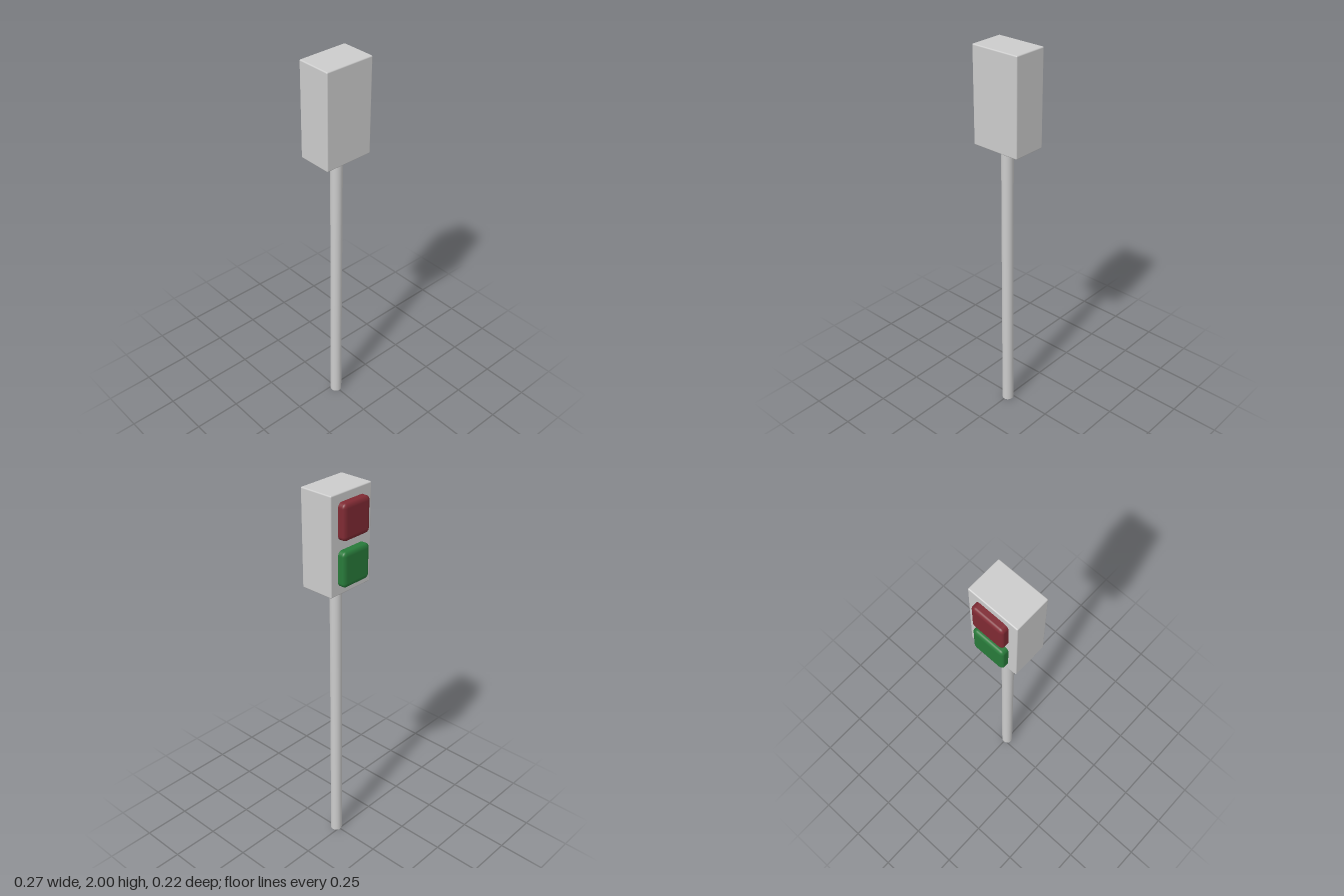
import * as THREE from 'three';
import { RoundedBoxGeometry } from 'three/addons/geometries/RoundedBoxGeometry.js';

const material = (color) => new THREE.MeshStandardMaterial({ color });

export function createModel() {
  const model = new THREE.Group();
  model.name = 'signalPost';
  const grey = material(0xcccccc);

  const add = (name, geometry, mat, x, y, z) => {
    const mesh = new THREE.Mesh(geometry, mat);
    mesh.name = name;
    mesh.position.set(x, y, z);
    model.add(mesh);
    return mesh;
  };

  // Round pole, ending just inside the housing
  add('pole', new THREE.CylinderGeometry(0.03, 0.03, 1.53, 32), grey, 0, 0.765, 0.022);

  // Housing with slightly softened edges
  add('housing', new RoundedBoxGeometry(0.266, 0.487, 0.182, 3, 0.006), grey, 0, 1.7565, 0.018);

  // Cushion-shaped lamps on the back face, flattened in depth and half sunk into the housing
  const lampDepth = 0.076, flatten = 0.65;
  const lampGeometry = new RoundedBoxGeometry(0.174, 0.176, lampDepth / flatten, 5, 0.023);
  lampGeometry.scale(1, 1, flatten);
  const lamps = [
    ['redLamp', 0x7f2a33, 1.871],
    ['greenLamp', 0x287a3a, 1.645],
  ];
  for (const [name, color, y] of lamps) add(name, lampGeometry, material(color), 0, y, -0.073);

  return model;
}
